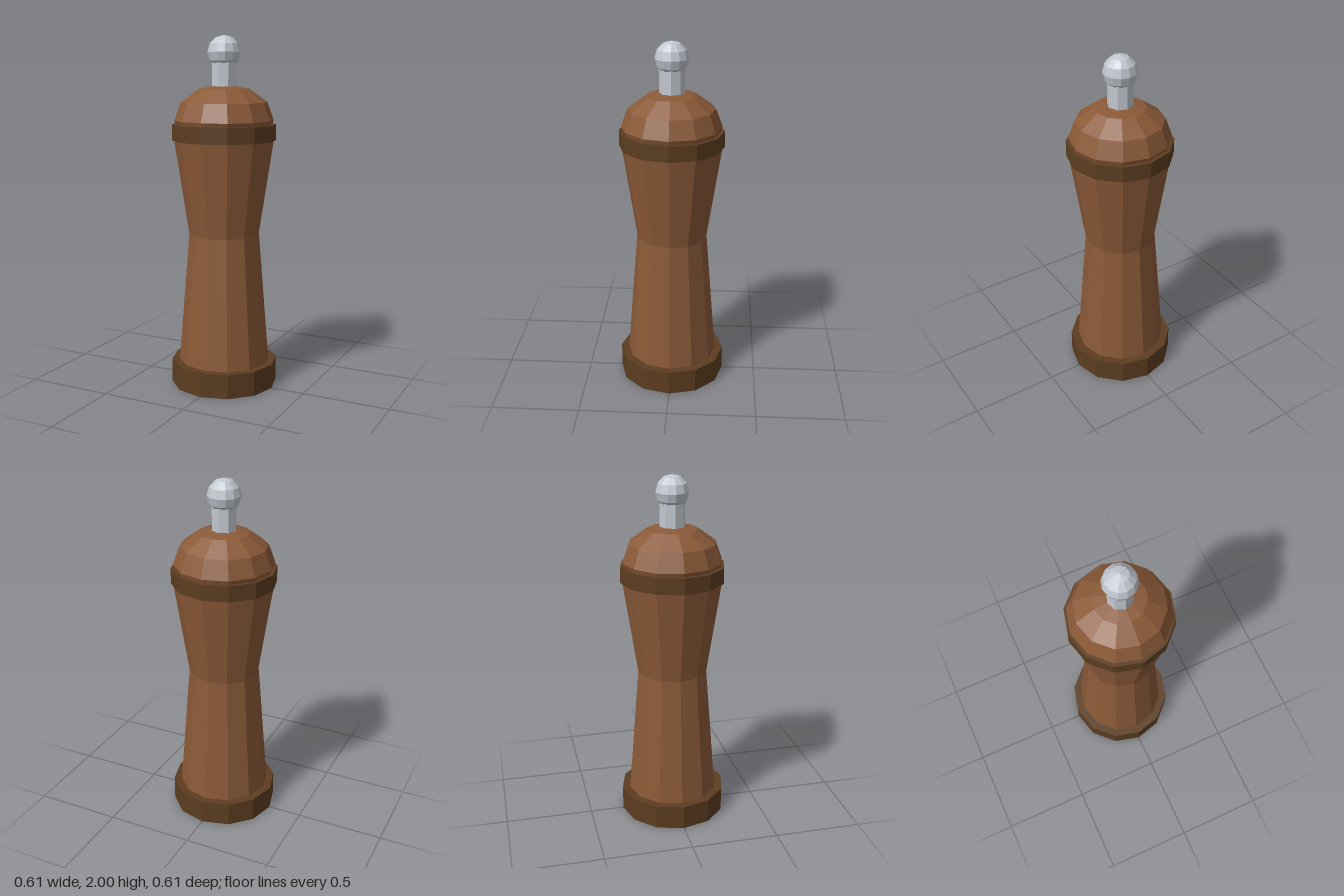
import * as THREE from 'three';

export function createModel() {
  const group = new THREE.Group();
  group.name = 'pepperMill';

  const material = (name, color) => {
    const m = new THREE.MeshStandardMaterial({ color, flatShading: true });
    m.name = name;
    return m;
  };
  const wood = material('warmWood', 0x8b5a38);
  const darkWood = material('darkWood', 0x5c3d20);
  const metal = material('metal', 0xc2c8d0);

  const add = (name, geometry, mat, y = 0) => {
    const mesh = new THREE.Mesh(geometry, mat);
    mesh.name = name;
    mesh.position.y = y;
    group.add(mesh);
    return mesh;
  };
  // A turned twelve-sided part from [radius, height] pairs, bottom to top
  const turned = (profile) =>
    new THREE.LatheGeometry(profile.map(([r, y]) => new THREE.Vector2(r, y)), 12);

  // Foot and waisted body
  add('base', new THREE.CylinderGeometry(0.305, 0.305, 0.14, 12), darkWood, 0.07);
  add('body', turned([[0, 0.14], [0.26, 0.14], [0.2, 0.885], [0.285, 1.44], [0, 1.44]]), wood);

  // Collar and domed cap
  add('collar', new THREE.CylinderGeometry(0.293, 0.293, 0.09, 12), darkWood, 1.463);
  const cap = add('cap', new THREE.SphereGeometry(0.28, 12, 6), wood, 1.53);
  cap.scale.y = 0.725;

  // Metal stem and knob
  add('stem', new THREE.CylinderGeometry(0.07, 0.07, 0.18, 8), metal, 1.78);
  add('knob', new THREE.SphereGeometry(0.093, 12, 6), metal, 1.907);

  return group;
}
